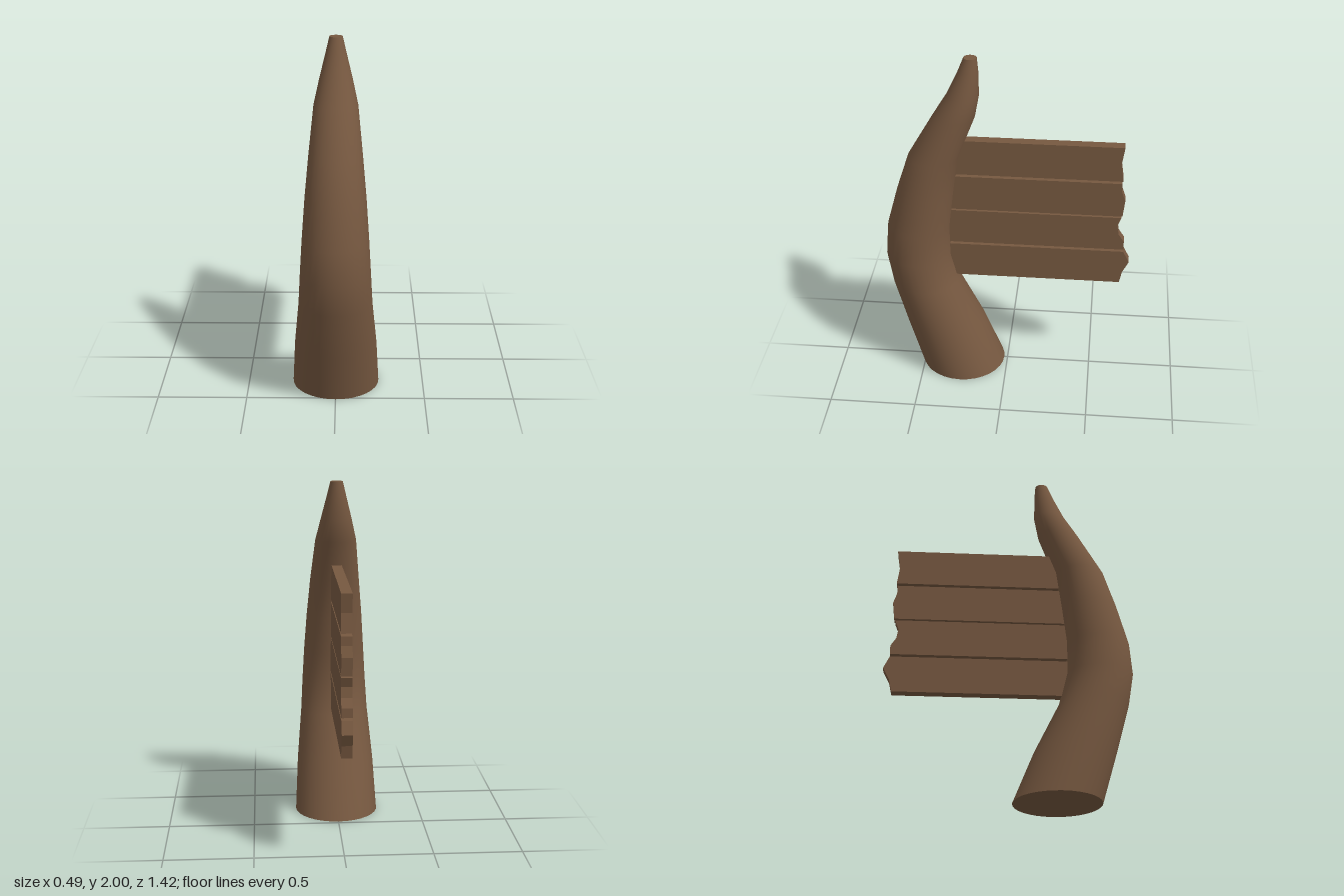
import * as THREE from 'three';

const SIDES = 32;

// Horn cross-sections from the ground up: [height, back z, front z, half width]
const RINGS = [
  [0, 0.02, 0.515, 0.246], [0.29, 0.14, 0.6, 0.23], [0.58, 0.285, 0.68, 0.203],
  [0.76, 0.33, 0.71, 0.193], [0.95, 0.332, 0.695, 0.182], [1.18, 0.305, 0.632, 0.166],
  [1.4, 0.275, 0.56, 0.146], [1.65, 0.18, 0.415, 0.12], [1.78, 0.156, 0.335, 0.09],
  [1.92, 0.158, 0.27, 0.055], [2, 0.165, 0.238, 0.036],
];

// Planks: [bottom, top, broken end as (z, y) points from bottom to top]
const PLANKS = [
  [0.62, 0.832, [[-0.656, 0.62], [-0.672, 0.693], [-0.707, 0.762], [-0.672, 0.832]]],
  [0.847, 1.059, [[-0.672, 0.847], [-0.672, 0.9], [-0.64, 0.948], [-0.63, 1.005], [-0.651, 1.059]]],
  [1.069, 1.281, [[-0.656, 1.069], [-0.667, 1.17], [-0.646, 1.23], [-0.646, 1.281]]],
  [1.296, 1.508, [[-0.651, 1.296], [-0.635, 1.402], [-0.651, 1.508]]],
];

function ringPoint([y, back, front, rx], j) {
  const a = (j / SIDES) * Math.PI * 2;
  return [Math.sin(a) * rx, y, (back + front) / 2 + (Math.cos(a) * (front - back)) / 2];
}

// Smooth skin lofted through the cross-sections
function hornGeometry() {
  const pos = [], index = [];
  for (const ring of RINGS) for (let j = 0; j < SIDES; j++) pos.push(...ringPoint(ring, j));
  for (let i = 0; i < RINGS.length - 1; i++) {
    for (let j = 0; j < SIDES; j++) {
      const k = (j + 1) % SIDES;
      const a = i * SIDES + j, b = i * SIDES + k, c = a + SIDES, d = b + SIDES;
      index.push(a, b, d, a, d, c);
    }
  }
  const g = new THREE.BufferGeometry();
  g.setAttribute('position', new THREE.Float32BufferAttribute(pos, 3));
  g.setIndex(index);
  g.computeVertexNormals();
  return g;
}

// Flat end of the horn
function capGeometry(ring, up) {
  const pos = [], index = [];
  for (let j = 0; j < SIDES; j++) pos.push(...ringPoint(ring, j));
  for (let j = 1; j < SIDES - 1; j++) index.push(0, ...(up ? [j, j + 1] : [j + 1, j]));
  const g = new THREE.BufferGeometry();
  g.setAttribute('position', new THREE.Float32BufferAttribute(pos, 3));
  g.setIndex(index);
  g.computeVertexNormals();
  return g;
}

// Board with a splintered rear end; its front end is buried in the horn
function plankGeometry([bottom, top, end]) {
  const inner = 0.39, thick = 0.06;
  const outline = [[inner, top], ...[...end].reverse(), [inner, bottom]];
  const shape = new THREE.Shape(outline.map(([z, y]) => new THREE.Vector2(z, y)));
  const g = new THREE.ExtrudeGeometry(shape, { depth: thick, bevelEnabled: false });
  g.rotateY(-Math.PI / 2);
  g.translate(thick / 2 - 0.002, 0, 0);
  return g;
}

export function createModel() {
  const wood = new THREE.MeshStandardMaterial({ color: 0x765840 });
  wood.name = 'brown wood';
  const model = new THREE.Group();
  model.name = 'hornPostWithPlanks';

  const add = (name, geometry, parent) => {
    const mesh = new THREE.Mesh(geometry, wood);
    mesh.name = name;
    parent.add(mesh);
  };

  // Curved horn post
  const horn = new THREE.Group();
  horn.name = 'hornPost';
  add('hornSkin', hornGeometry(), horn);
  add('hornBase', capGeometry(RINGS[0], false), horn);
  add('hornTip', capGeometry(RINGS[RINGS.length - 1], true), horn);
  model.add(horn);

  // Stacked broken planks
  const planks = new THREE.Group();
  planks.name = 'planks';
  PLANKS.forEach((p, i) => add(`plank${i + 1}`, plankGeometry(p), planks));
  model.add(planks);

  return model;
}
